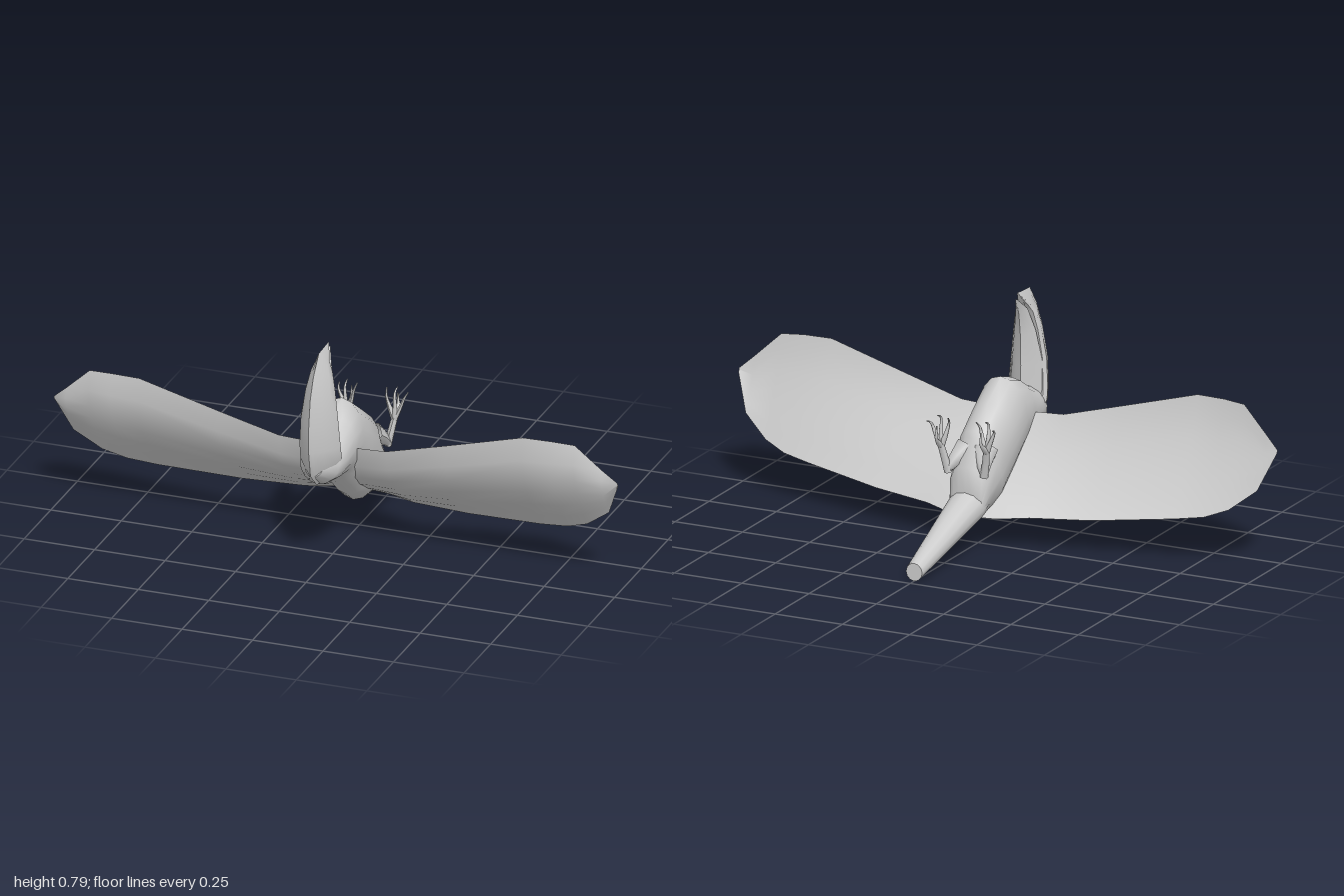
import * as THREE from 'three';
import { toCreasedNormals } from 'three/addons/utils/BufferGeometryUtils.js';

const material = new THREE.MeshStandardMaterial({ color: 0xcccccc, side: THREE.DoubleSide });

// Skin a row of closed rings (arrays of [x, y, z]) and cap both ends, facing outwards
function loft(name, rings) {
  const n = rings[0].length, last = rings.length - 1;
  const pos = rings.flat(2), index = [];
  for (let i = 0; i < last; i++) {
    for (let j = 0; j < n; j++) {
      const a = i * n + j, b = i * n + (j + 1) % n;
      index.push(a, b, a + n, b, b + n, a + n);
    }
  }
  for (const end of [0, last]) {
    const base = pos.length / 3;
    pos.push(...rings[end].flat());
    pos.push(...[0, 1, 2].map(k => rings[end].reduce((s, p) => s + p[k], 0) / n));
    for (let j = 0; j < n; j++) {
      const a = base + j, b = base + (j + 1) % n;
      if (end === 0) index.push(b, a, base + n); else index.push(a, b, base + n);
    }
  }
  // a negative enclosed volume means the corners run the wrong way round
  const point = i => new THREE.Vector3(pos[i * 3], pos[i * 3 + 1], pos[i * 3 + 2]);
  let volume = 0;
  for (let i = 0; i < index.length; i += 3) {
    volume += point(index[i]).dot(point(index[i + 1]).cross(point(index[i + 2])));
  }
  if (volume < 0) index.reverse();
  const g = new THREE.BufferGeometry();
  g.setAttribute('position', new THREE.Float32BufferAttribute(pos, 3));
  g.setIndex(index);
  const mesh = new THREE.Mesh(toCreasedNormals(g, 0.9), material);
  mesh.name = name;
  return mesh;
}

// Sections [z1, y1, z2, y2, halfWidth] span two profile points with an oval;
// a wedge of +0.5 or -0.5 gives a keel on the first or second profile instead
function profileLoft(name, sections, sides, wedge = 0) {
  return loft(name, sections.map(([z1, y1, z2, y2, w]) => {
    const ring = [];
    for (let j = 0; j < sides; j++) {
      const a = j / sides * Math.PI * 2, sin = Math.sin(a);
      const s = (1 - Math.cos(a)) / 2 + wedge * sin * sin;
      const x = wedge ? w * sin * Math.abs(sin) : w * sin;
      ring.push([x, y1 + (y2 - y1) * s, z1 + (z2 - z1) * s]);
    }
    return ring;
  }));
}

// Round limb along a curve, thinning from r1 to r2
function limb(name, points, r1, r2, segments = 6) {
  const curve = new THREE.CatmullRomCurve3(points.map(p => new THREE.Vector3(...p)));
  const sides = 6, g = new THREE.TubeGeometry(curve, segments, 1, sides);
  const p = g.attributes.position, v = new THREE.Vector3();
  for (let i = 0; i < p.count; i++) {
    const t = Math.floor(i / (sides + 1)) / segments;
    const c = curve.getPointAt(t);
    v.fromBufferAttribute(p, i).sub(c).multiplyScalar(r1 + (r2 - r1) * t).add(c);
    p.setXYZ(i, v.x, v.y, v.z);
  }
  g.computeVertexNormals();
  const mesh = new THREE.Mesh(g, material);
  mesh.name = name;
  return mesh;
}

// Cambered wing, bulging below and nearly flat above; [x, leadY, leadZ, trailY, trailZ]
const wingStations = [
  [0.0, 0.39, 0.25, 0.11, -0.06],
  [0.09, 0.40, 0.25, 0.11, -0.045],
  [0.19, 0.405, 0.252, 0.115, 0.0],
  [0.40, 0.462, 0.26, 0.125, 0.04],
  [0.68, 0.54, 0.268, 0.155, 0.097],
  [0.78, 0.54, 0.264, 0.17, 0.115],
  [0.86, 0.535, 0.255, 0.2, 0.137],
  [0.95, 0.45, 0.236, 0.27, 0.17],
  [1.0, 0.405, 0.222, 0.393, 0.216],
];
function wing(name, side) {
  const steps = 6;
  return loft(name, wingStations.map(([x, y1, z1, y2, z2]) => {
    const dy = y2 - y1, dz = z2 - z1;
    const at = (t, bulge) => {
      const b = bulge * Math.sin(Math.PI * Math.pow(t, 0.72));
      return [side * x, y1 + dy * t + dz * b, z1 + dz * t - dy * b];
    };
    const ring = [];
    for (let i = 0; i <= steps; i++) ring.push(at(i / steps, 0.13));
    for (let i = steps - 1; i > 0; i--) ring.push(at(i / steps, 0.04));
    return ring;
  }));
}

// Thigh, shank and four curled toes
function leg(name, side) {
  const g = new THREE.Group();
  g.name = name;
  const m = pts => pts.map(([x, y, z]) => [side * x, y, z]);
  g.add(limb('thigh', m([[0.035, 0.33, -0.02], [0.055, 0.30, -0.065], [0.068, 0.275, -0.09]]), 0.045, 0.014));
  g.add(limb('shank', m([[0.066, 0.265, -0.088], [0.077, 0.32, -0.097], [0.085, 0.365, -0.108]]), 0.014, 0.011));
  const toes = [
    [[0.068, 0.40, -0.103], [0.058, 0.44, -0.100], [0.052, 0.462, -0.118]],
    [[0.088, 0.41, -0.100], [0.088, 0.455, -0.098], [0.089, 0.468, -0.122]],
    [[0.103, 0.40, -0.110], [0.117, 0.435, -0.113], [0.122, 0.447, -0.135]],
    [[0.085, 0.377, -0.128], [0.083, 0.397, -0.145], [0.082, 0.437, -0.143]],
  ];
  for (const t of toes) g.add(limb('toe', m([[0.084, 0.357, -0.105], ...t]), 0.011, 0.002, 8));
  return g;
}

export function createModel() {
  const bird = new THREE.Group();
  bird.name = 'bird';

  // Body and head, from rump to face (back profile, belly profile, half width)
  bird.add(profileLoft('body', [
    [-0.08, 0.097, -0.10, 0.205, 0.062],
    [-0.03, 0.11, -0.088, 0.29, 0.075],
    [0.06, 0.12, -0.04, 0.37, 0.085],
    [0.12, 0.165, -0.03, 0.40, 0.088],
    [0.17, 0.21, 0.07, 0.47, 0.09],
    [0.22, 0.25, 0.165, 0.535, 0.09],
    [0.26, 0.29, 0.245, 0.51, 0.087],
    [0.33, 0.302, 0.31, 0.47, 0.08],
    [0.39, 0.315, 0.35, 0.455, 0.07],
    [0.44, 0.36, 0.39, 0.445, 0.035],
  ], 16));

  // Tail
  bird.add(profileLoft('tail', [
    [-0.472, 0.003, -0.472, 0.065, 0.03],
    [-0.33, 0.037, -0.33, 0.118, 0.044],
    [-0.08, 0.097, -0.10, 0.205, 0.066],
    [-0.02, 0.115, -0.05, 0.225, 0.066],
  ], 12));

  // Curved bill in two halves (outer edge, inner edge, half width)
  bird.add(profileLoft('upperBill', [
    [0.40, 0.315, 0.35, 0.385, 0.066],
    [0.458, 0.37, 0.36, 0.41, 0.074],
    [0.475, 0.46, 0.367, 0.45, 0.073],
    [0.475, 0.55, 0.373, 0.55, 0.066],
    [0.46, 0.65, 0.363, 0.65, 0.052],
    [0.43, 0.72, 0.35, 0.715, 0.037],
    [0.38, 0.785, 0.337, 0.742, 0.022],
    [0.29, 0.79, 0.292, 0.785, 0.003],
  ], 16, 0.5));
  bird.add(profileLoft('lowerBill', [
    [0.37, 0.42, 0.31, 0.42, 0.07],
    [0.362, 0.53, 0.313, 0.53, 0.058],
    [0.345, 0.65, 0.311, 0.63, 0.04],
    [0.32, 0.73, 0.3, 0.71, 0.022],
    [0.28, 0.77, 0.281, 0.766, 0.003],
  ], 16, -0.5));

  // Wings and legs, mirrored
  for (const [label, side] of [['left', 1], ['right', -1]]) {
    bird.add(wing(label + 'Wing', side));
    bird.add(leg(label + 'Leg', side));
  }
  return bird;
}
